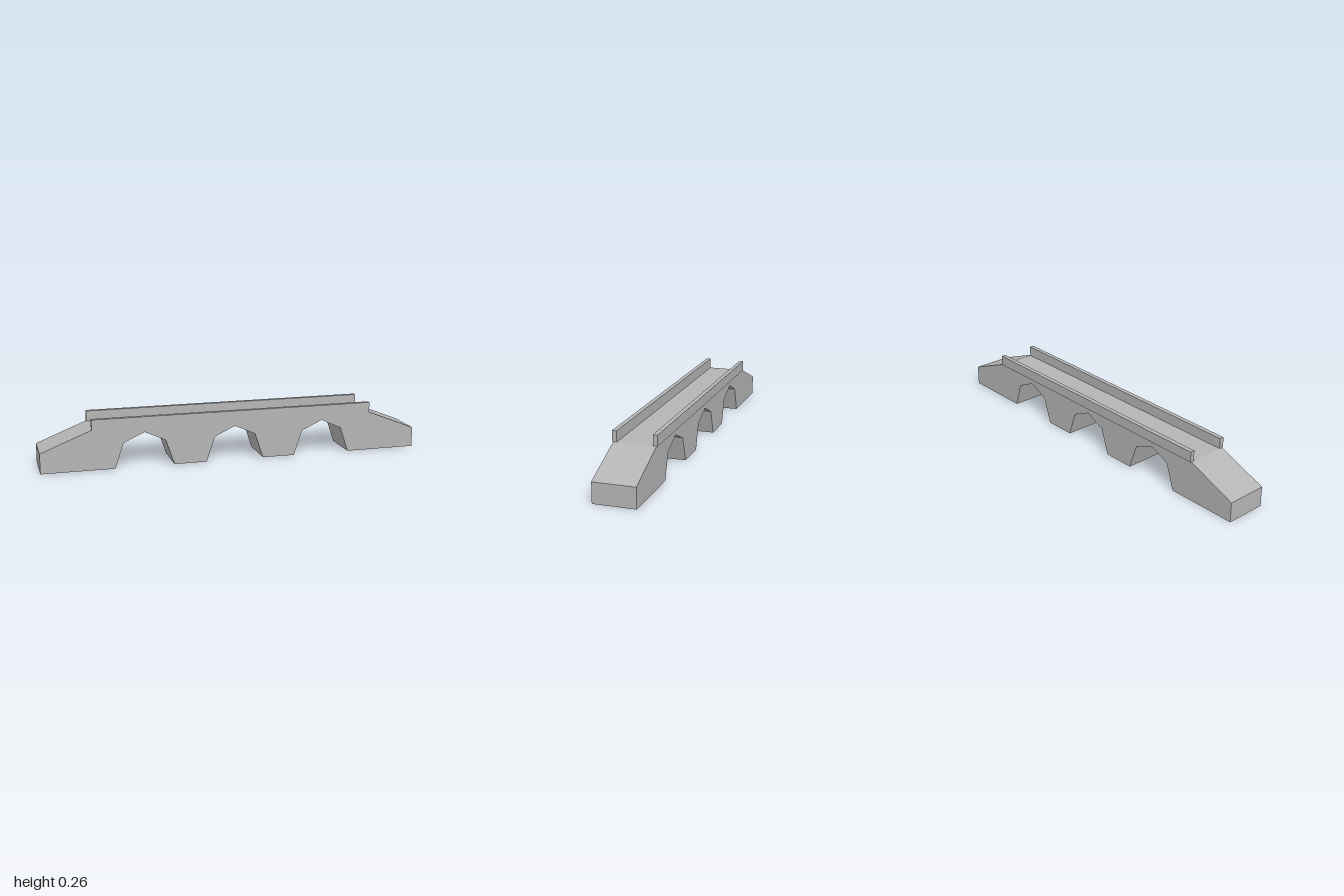
import * as THREE from 'three';

const stone = new THREE.MeshStandardMaterial({ color: 0xb4b4b4 });
stone.name = 'grey stone';

export function createModel() {
  const bridge = new THREE.Group();
  bridge.name = 'archedBridge';

  // Bridge body: side outline with ramps at both ends and faceted arches cut from below
  const width = 0.212, deckY = 0.207, deckEnd = 0.741, rampY = 0.104;
  const outline = new THREE.Shape();
  outline.moveTo(-1, 0);
  for (const x of [-0.474, 0, 0.474]) {
    const arch = [[-0.152, 0], [-0.108, 0.131], [0, 0.18], [0.108, 0.131], [0.152, 0]];
    for (const [dx, y] of arch) outline.lineTo(x + dx, y);
  }
  outline.lineTo(1, 0);
  outline.lineTo(1, rampY);
  outline.lineTo(deckEnd, deckY);
  outline.lineTo(-deckEnd, deckY);
  outline.lineTo(-1, rampY);
  outline.closePath();

  const bodyGeometry = new THREE.ExtrudeGeometry(outline, { depth: width, bevelEnabled: false });
  bodyGeometry.translate(0, 0, -width / 2);
  const body = new THREE.Mesh(bodyGeometry, stone);
  body.name = 'bridgeBody';
  bridge.add(body);

  // Parapets along both edges of the deck, slightly overhanging the sides
  const parapetHeight = 0.054;
  for (const [name, side] of [['frontParapet', 1], ['backParapet', -1]]) {
    const parapet = new THREE.Mesh(new THREE.BoxGeometry(deckEnd * 2, parapetHeight, 0.023), stone);
    parapet.name = name;
    parapet.position.set(0, deckY + parapetHeight / 2, side * 0.1);
    bridge.add(parapet);
  }

  return bridge;
}
